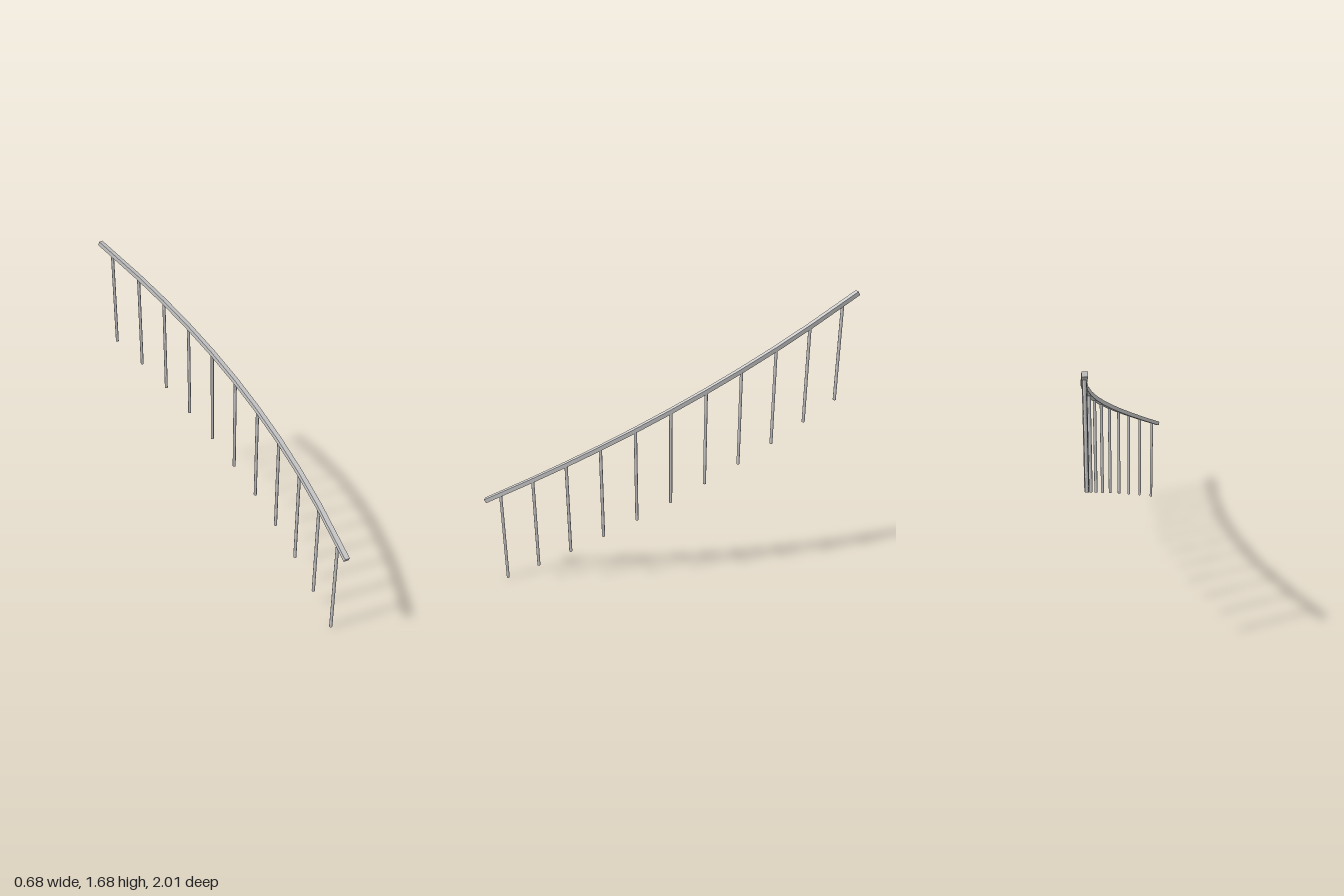
import * as THREE from 'three';

const RADIUS = 3.42, CENTRE_X = -3.0985, CENTRE_Z = 1.0106;
const START = THREE.MathUtils.degToRad(1.77), STEP = THREE.MathUtils.degToRad(3.25);
const RAIL_Y = 0.571, STEP_RISE = 0.1045, OVERHANG = 0.47;
const RAIL_WIDTH = 0.028, RAIL_HEIGHT = 0.024;
const POSTS = 11, POST_RADIUS = 0.009, POST_LENGTH = 0.567;

// Where the handrail passes over baluster i
function railPoint(i) {
  const a = START + STEP * i;
  return new THREE.Vector3(
    CENTRE_X + RADIUS * Math.cos(a), RAIL_Y + STEP_RISE * i, CENTRE_Z - RADIUS * Math.sin(a));
}

// Straight rail pieces from baluster to baluster, with an overhang at both ends
function railPath() {
  const path = Array.from({ length: POSTS }, (_, i) => railPoint(i));
  const bottom = path[0].clone().lerp(path[1], -OVERHANG);
  const top = path[POSTS - 1].clone().lerp(path[POSTS - 2], -OVERHANG);
  return [bottom, ...path, top];
}

// Rectangular section swept along the path, with capped ends
function railGeometry(path) {
  const corners = [[1, -1], [1, 1], [-1, 1], [-1, -1]];
  const positions = [], index = [];
  const last = path.length - 1;
  path.forEach((point, i) => {
    const before = point.clone().sub(path[Math.max(i - 1, 0)]).normalize();
    const after = path[Math.min(i + 1, last)].clone().sub(point).normalize();
    const tangent = before.add(after).normalize();
    const side = new THREE.Vector3().crossVectors(tangent, THREE.Object3D.DEFAULT_UP).normalize();
    const up = new THREE.Vector3().crossVectors(side, tangent);
    for (const [s, u] of corners) {
      const p = point.clone()
        .addScaledVector(side, s * RAIL_WIDTH / 2)
        .addScaledVector(up, u * RAIL_HEIGHT / 2);
      positions.push(p.x, p.y, p.z);
    }
    if (i === last) return;
    for (let j = 0; j < 4; j++) {
      const k = (j + 1) % 4, a = i * 4, b = a + 4;
      index.push(a + j, b + j, b + k, a + j, b + k, a + k);
    }
  });
  const e = last * 4;
  index.push(0, 1, 2, 0, 2, 3, e, e + 2, e + 1, e, e + 3, e + 2);
  const indexed = new THREE.BufferGeometry();
  indexed.setAttribute('position', new THREE.Float32BufferAttribute(positions, 3));
  indexed.setIndex(index);
  const geometry = indexed.toNonIndexed();
  geometry.computeVertexNormals();
  return geometry;
}

export function createModel() {
  const group = new THREE.Group();
  group.name = 'curvedStairRailing';
  const material = new THREE.MeshStandardMaterial({ color: 0xcccccc });

  // Handrail
  const rail = new THREE.Mesh(railGeometry(railPath()), material);
  rail.name = 'handrail';
  group.add(rail);

  // Slim round balusters, one per step
  const postGeometry = new THREE.CylinderGeometry(POST_RADIUS, POST_RADIUS, POST_LENGTH, 8);
  for (let i = 0; i < POSTS; i++) {
    const { x, z } = railPoint(i);
    const post = new THREE.Mesh(postGeometry, material);
    post.name = `baluster${i + 1}`;
    post.position.set(x, i * STEP_RISE + POST_LENGTH / 2, z);
    post.rotation.y = START + STEP * i;
    group.add(post);
  }
  return group;
}
